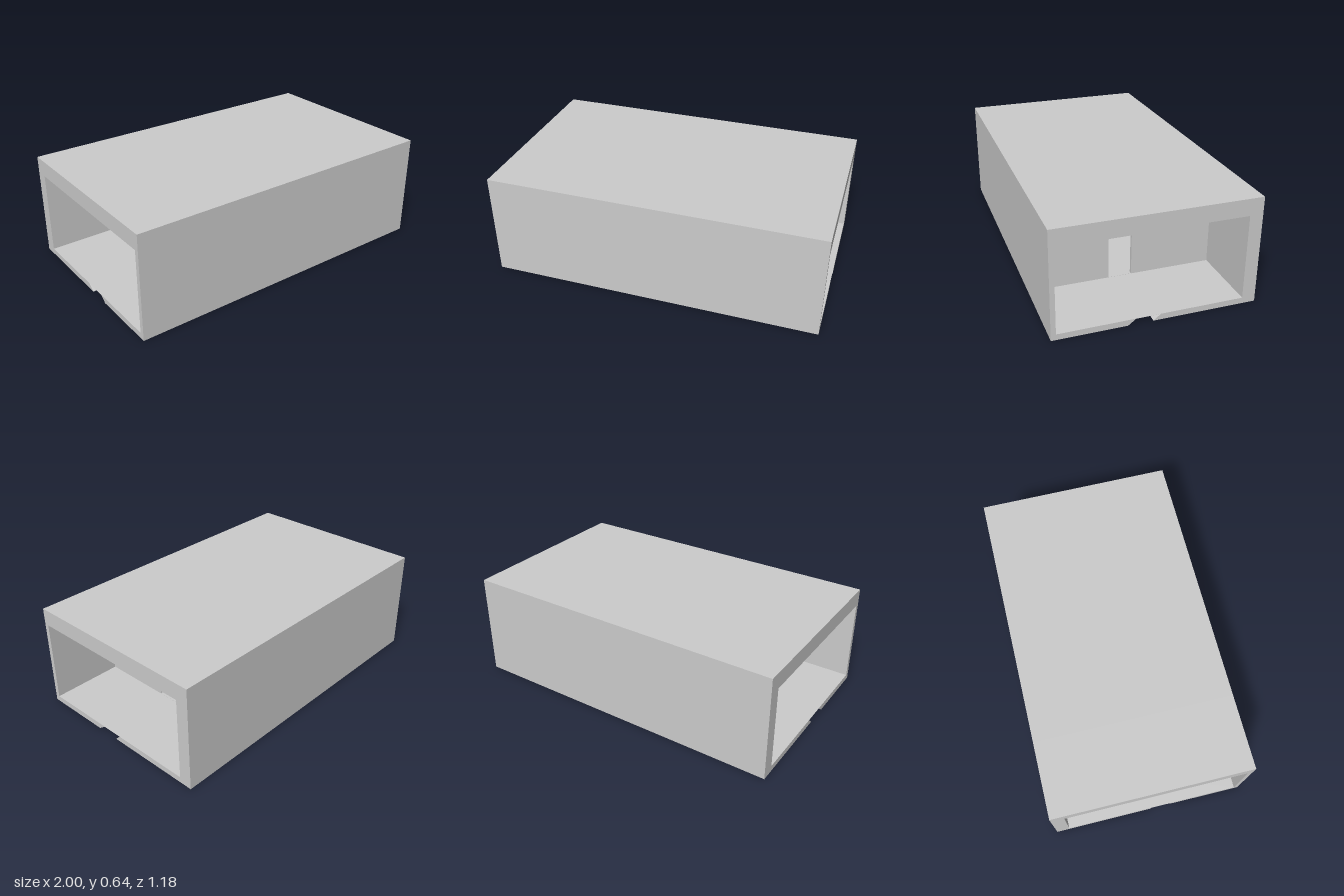
import * as THREE from 'three';

const H = 0.64, W = 0.588;            // outer height and half width
const Z0 = -0.51, Z1 = 0.56;          // inner side walls
const FLOOR = 0.035, CEIL = 0.54;

// Closed outline from [z, y] pairs (shape x is -z, so extrusion runs along +x after turning);
// reversed to stay counter-clockwise
const outline = (pts, Type = THREE.Shape) =>
  new Type(pts.map(([z, y]) => new THREE.Vector2(-z, y)).reverse());
const rect = (z0, z1, y0, y1) => [[z0, y0], [z1, y0], [z1, y1], [z0, y1]];

export function createModel() {
  const model = new THREE.Group();
  const material = new THREE.MeshStandardMaterial({
    color: 0xcccccc, flatShading: true, side: THREE.DoubleSide,
  });

  // Extrude a cross-section with an opening between two x positions
  function slice(name, outer, hole, x0, x1) {
    const shape = outline(outer);
    shape.holes.push(outline(hole, THREE.Path));
    const geo = new THREE.ExtrudeGeometry(shape, { depth: x1 - x0, bevelEnabled: false });
    geo.rotateY(Math.PI / 2).translate(x0, 0, 0);
    const mesh = new THREE.Mesh(geo, material);
    mesh.name = name;
    model.add(mesh);
  }

  // Outer section whose underside is cut by the given [z, y] points
  const cutBelow = (cut) => [[-W, 0], ...cut, [W, 0], [W, H], [-W, H]];
  const room = rect(Z0, Z1, FLOOR, CEIL);
  const channelTop = [[-0.02, 0.034], [0.12, 0.034]];
  const channel = cutBelow([[0.02, 0], ...channelTop, [0.165, 0]]);
  const groove = cutBelow([
    [-0.565, 0], [-0.565, 0.006], [0.013, 0.006], ...channelTop,
    [0.157, 0.006], [0.555, 0.006], [0.555, 0],
  ]);

  // Middle room
  slice('middleShell', rect(-W, W, 0, H), room, -0.56, 0.56);

  // Each end: partition with doorway, underside groove, open bay with slanted floor channel
  for (const [side, s] of [['left', 1], ['right', -1]]) {
    const span = (a, b) => (s > 0 ? [a, b] : [-b, -a]);
    slice(side + 'Partition', room, rect(-0.02, 0.12, FLOOR + 0.001, 0.287), ...span(0.54, 0.56));
    slice(side + 'GroovedShell', groove, room, ...span(0.56, 0.58));
    slice(side + 'BayShell', channel, room, ...span(0.58, 1));
  }
  return model;
}
